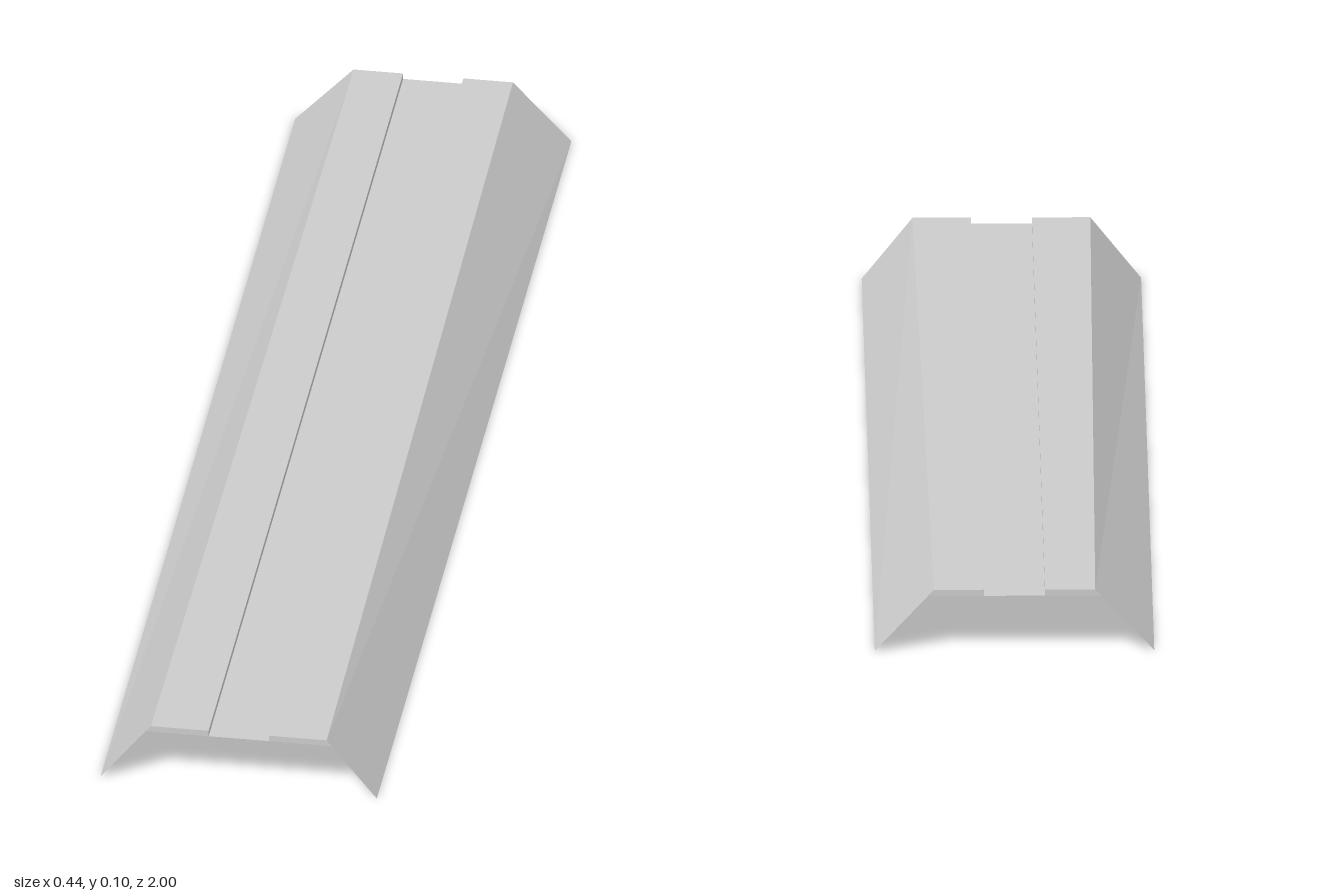
import * as THREE from 'three';

const TOP = 0.1, FLOOR = 0.09, SLOT = 0.048, FOOT = 0.22;
const material = new THREE.MeshStandardMaterial({
  color: 0xcccccc, flatShading: true, side: THREE.DoubleSide,
});

// One flat sheet from four corners, counter-clockwise seen from its outer side
function sheet(name, a, b, c, d) {
  const geometry = new THREE.BufferGeometry();
  geometry.setAttribute('position', new THREE.Float32BufferAttribute([a, b, c, d].flat(), 3));
  geometry.setIndex([0, 1, 2, 0, 2, 3]);
  const flat = geometry.toNonIndexed();
  flat.computeVertexNormals();
  const mesh = new THREE.Mesh(flat, material);
  mesh.name = name;
  return mesh;
}

// Sheet running the full length between two profile points,
// each given as [x at front, x at back, y]
function strip(name, p, q) {
  return sheet(name,
    [p[0], p[2], 1], [q[0], q[2], 1], [q[1], q[2], -1], [p[1], p[2], -1]);
}

export function createModel() {
  const group = new THREE.Group();
  group.name = 'channelledCover';

  // Sunken floor of the central channel
  group.add(strip('channelFloor', [-SLOT, -SLOT, FLOOR], [SLOT, SLOT, FLOOR]));

  for (const [side, s] of [['left', 1], ['right', -1]]) {
    const foot = [s * FOOT, s * FOOT, 0];
    const shoulder = [s * 0.14, s * 0.127, TOP]; // narrows towards the back
    const lip = [s * SLOT, s * SLOT, TOP];
    const base = [s * SLOT, s * SLOT, FLOOR];

    // Channel wall, raised top and sloping flank, ordered so they face outward
    const profile = [base, lip, shoulder, foot];
    ['ChannelWall', 'TopPanel', 'Flank'].forEach((part, i) => {
      const [p, q] = s > 0 ? [profile[i], profile[i + 1]] : [profile[i + 1], profile[i]];
      group.add(strip(side + part, p, q));
    });

    // Shallow end caps under the raised top
    for (const [end, z, k] of [['Front', 1, 0], ['Back', -1, 1]]) {
      const t = (TOP - FLOOR) / TOP;
      const low = shoulder[k] + (foot[k] - shoulder[k]) * t;
      const corners = [
        [base[k], FLOOR, z], [low, FLOOR, z], [shoulder[k], TOP, z], [lip[k], TOP, z],
      ];
      if (s * z < 0) corners.reverse();
      group.add(sheet(side + end + 'Cap', ...corners));
    }
  }
  return group;
}
